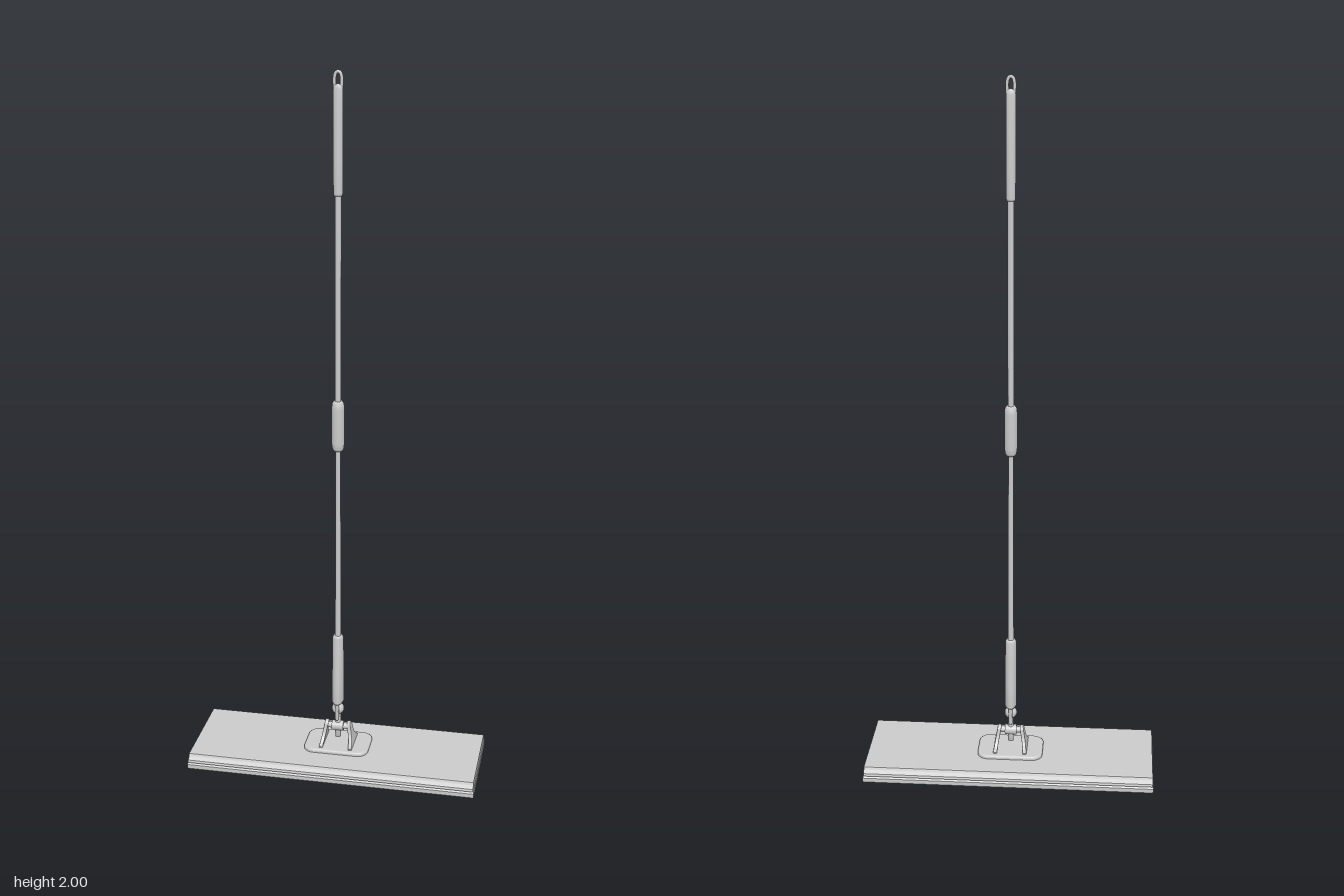
import * as THREE from 'three';

const mat = new THREE.MeshStandardMaterial({ color: 0xcccccc, roughness: 0.6 });

export function createModel() {
  const model = new THREE.Group();
  model.name = 'flatMop';

  const add = (name, geo, x = 0, y = 0, z = 0) => {
    const m = new THREE.Mesh(geo, mat);
    m.name = name;
    m.position.set(x, y, z);
    model.add(m);
    return m;
  };
  // Revolved part; [radius, y] points run from bottom to top
  const lathe = (name, pts) =>
    add(name, new THREE.LatheGeometry(pts.map(p => new THREE.Vector2(...p)), 24));
  const roundedRect = (w, h, r) => {
    const s = new THREE.Shape(), x = w / 2, y = h / 2;
    s.absarc(x - r, y - r, r, 0, Math.PI / 2);
    s.absarc(-x + r, y - r, r, Math.PI / 2, Math.PI);
    s.absarc(-x + r, -y + r, r, Math.PI, Math.PI * 1.5);
    s.absarc(x - r, -y + r, r, Math.PI * 1.5, Math.PI * 2);
    return s;
  };
  // Profile given as (z, y), extruded along x and centred on it
  const extrudeAlongX = (shape, length, bevel = 0) => {
    const g = new THREE.ExtrudeGeometry(shape, {
      depth: length - 2 * bevel, curveSegments: 10, bevelEnabled: bevel > 0,
      bevelThickness: bevel, bevelSize: bevel, bevelOffset: -bevel, bevelSegments: 2,
    });
    g.translate(0, 0, -(length - 2 * bevel) / 2);
    return g.rotateY(-Math.PI / 2);
  };
  const mirrored = half => new THREE.Shape(
    [...half, ...half.slice().reverse().map(([z, y]) => [-z, y])].map(p => new THREE.Vector2(...p)));

  // Mop head: cloth pad below, bevelled board above
  add('cleaningPad', extrudeAlongX(
    mirrored([[0.148, 0], [0.152, 0.004], [0.152, 0.016], [0.147, 0.02]]), 0.84));
  add('headBoard', extrudeAlongX(
    mirrored([[0.147, 0.02], [0.152, 0.023], [0.15, 0.03], [0.139, 0.037], [0.136, 0.044], [0.132, 0.045]]), 0.836));

  // Rounded mounting plate
  const plate = new THREE.ExtrudeGeometry(roundedRect(0.19, 0.13, 0.032), {
    depth: 0.006, bevelThickness: 0.005, bevelSize: 0.007, bevelOffset: -0.007, bevelSegments: 3, curveSegments: 8,
  });
  plate.rotateX(-Math.PI / 2);
  add('mountingPlate', plate, 0, 0.044, -0.003);

  // Flared side brackets leaning toward the hinge
  const flare = new THREE.Shape();
  flare.moveTo(-0.05, 0);
  flare.lineTo(0.05, 0);
  flare.lineTo(0.05, 0.006);
  flare.quadraticCurveTo(0.018, 0.018, 0.014, 0.058);
  flare.absarc(0, 0.058, 0.014, 0, Math.PI);
  flare.quadraticCurveTo(-0.018, 0.018, -0.05, 0.006);
  for (const s of [-1, 1]) {
    const b = add(s > 0 ? 'leftBracket' : 'rightBracket', extrudeAlongX(flare, 0.011, 0.002), s * 0.044, 0.052, -0.002);
    b.rotation.z = s * 0.17;
  }

  // Hinge axle and the swivel stem
  add('hingeAxle', new THREE.CylinderGeometry(0.009, 0.009, 0.076, 16).rotateZ(Math.PI / 2), 0, 0.108);
  add('hingeBarrel', new THREE.CylinderGeometry(0.015, 0.015, 0.034, 20).rotateZ(Math.PI / 2), 0, 0.108);
  lathe('swivelStem', [[0, 0.07], [0.008, 0.072], [0.009, 0.1], [0.008, 0.15], [0, 0.152]]);
  add('swivelKnuckle', new THREE.SphereGeometry(0.018, 20, 14), 0, 0.165);
  for (const s of [-1, 1]) {
    // Fork arms joining the knuckle to the socket
    const arm = add(s > 0 ? 'frontForkArm' : 'backForkArm',
      new THREE.CapsuleGeometry(0.006, 0.055, 4, 10), 0, 0.165, s * 0.017);
    arm.rotation.x = s * 0.08;
  }
  add('knucklePin', new THREE.CylinderGeometry(0.006, 0.006, 0.042, 14).rotateX(Math.PI / 2), 0, 0.165);

  // Handle socket: round at the top, deeper front to back at the bottom
  const socket = new THREE.LatheGeometry(
    [[0, 0.185], [0.013, 0.186], [0.017, 0.193], [0.017, 0.26], [0.0165, 0.33], [0.016, 0.395], [0.013, 0.402], [0, 0.402]]
      .map(p => new THREE.Vector2(...p)), 28);
  const p = socket.attributes.position;
  for (let i = 0; i < p.count; i++) {
    const t = THREE.MathUtils.clamp((0.4 - p.getY(i)) / 0.21, 0, 1);
    p.setZ(i, p.getZ(i) * (0.95 + 0.9 * t));
  }
  socket.computeVertexNormals();
  add('handleSocket', socket);

  // Telescopic pole
  add('lowerPole', new THREE.CylinderGeometry(0.007, 0.0085, 0.6, 20), 0, 0.69);
  add('upperPole', new THREE.CylinderGeometry(0.0085, 0.0085, 0.62, 20), 0, 1.39);
  lathe('poleCollar', [[0, 0.968], [0.013, 0.968], [0.016, 0.975], [0.018, 0.99], [0.018, 1.09],
    [0.0165, 1.105], [0.012, 1.112], [0, 1.112]]);

  // Grip, flattening front to back toward the hanging loop
  const grip = new THREE.LatheGeometry(
    [[0, 1.676], [0.011, 1.676], [0.0125, 1.682], [0.013, 1.75], [0.013, 1.85], [0.013, 1.92], [0.013, 1.95], [0.011, 1.962], [0, 1.965]]
      .map(q => new THREE.Vector2(...q)), 24);
  const g = grip.attributes.position;
  for (let i = 0; i < g.count; i++) {
    const t = THREE.MathUtils.clamp((g.getY(i) - 1.8) / 0.16, 0, 1);
    g.setZ(i, g.getZ(i) * (1 - 0.5 * t));
  }
  grip.computeVertexNormals();
  add('grip', grip);

  // Hanging loop, open from front to back
  const loopPath = new THREE.CatmullRomCurve3(
    [[-0.009, 1.955], [-0.0095, 1.98], [-0.006, 1.992], [0, 1.9955], [0.006, 1.992], [0.0095, 1.98], [0.009, 1.955]]
      .map(([x, y]) => new THREE.Vector3(x, y, 0)));
  add('hangingLoop', new THREE.TubeGeometry(loopPath, 28, 0.0045, 10));

  return model;
}
